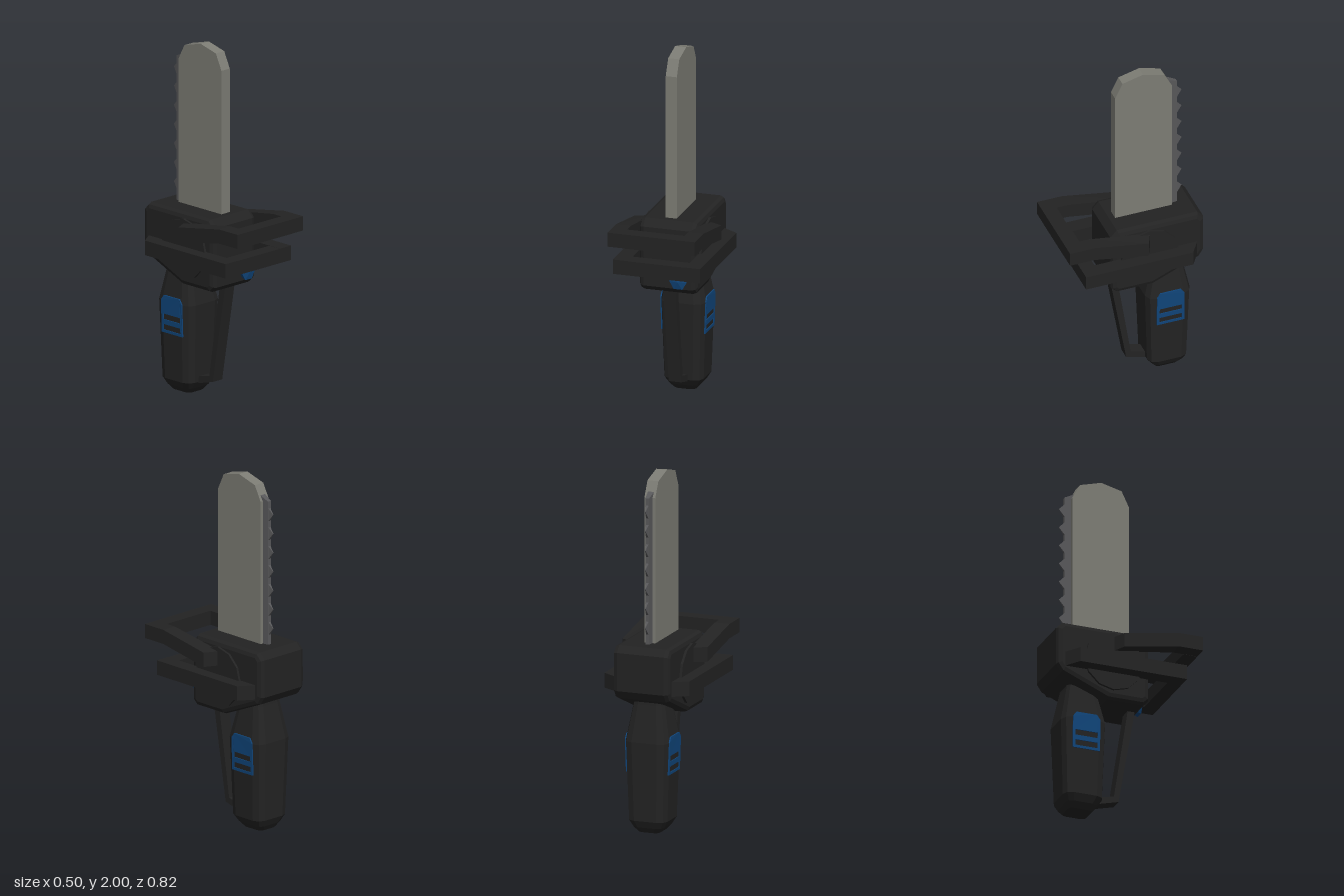
import * as THREE from 'three';

const paint = (name, color) => {
  const m = new THREE.MeshStandardMaterial({ color, flatShading: true });
  m.name = name;
  return m;
};

const polygon = (points) => new THREE.Shape(points.map(([a, b]) => new THREE.Vector2(a, b)));

// Extrudes a side profile given as [z, y] points from x0 to x1
function sideExtrude(shape, x0, x1, bevel = 0) {
  const geo = new THREE.ExtrudeGeometry(shape, {
    depth: x1 - x0 - 2 * bevel, bevelEnabled: bevel > 0, bevelSegments: 2,
    bevelThickness: bevel, bevelSize: bevel, bevelOffset: -bevel,
  });
  geo.translate(0, 0, -x1 + bevel);
  return geo.rotateY(-Math.PI / 2);
}

// Moves every vertex by a rule
function reshape(geo, rule) {
  const p = geo.attributes.position;
  const v = new THREE.Vector3();
  for (let i = 0; i < p.count; i++) {
    rule(v.fromBufferAttribute(p, i));
    p.setXYZ(i, v.x, v.y, v.z);
  }
  geo.computeVertexNormals();
  return geo;
}

// Lofts chamfered rectangles [y, zCentre, halfX, halfZ] from bottom to top
function loft(sections) {
  const pos = [], index = [];
  const n = 12;
  for (const [y, zc, hx, hz] of sections) {
    const c = hx * 0.42;
    for (let k = 0; k < 4; k++) {
      for (let s = 0; s < 3; s++) {
        const a = (k + s / 2) * Math.PI / 2;
        const sx = k === 0 || k === 3 ? 1 : -1;
        const sz = k < 2 ? 1 : -1;
        pos.push(sx * (hx - c) + c * Math.cos(a), y, zc + sz * (hz - c) + c * Math.sin(a));
      }
    }
  }
  for (let r = 0; r < sections.length - 1; r++) {
    for (let i = 0; i < n; i++) {
      const a = r * n + i, b = r * n + (i + 1) % n;
      index.push(a, a + n, b, b, a + n, b + n);
    }
  }
  const top = (sections.length - 1) * n;
  for (let i = 1; i < n - 1; i++) {
    index.push(0, i, i + 1, top, top + i + 1, top + i);
  }
  const geo = new THREE.BufferGeometry();
  geo.setAttribute('position', new THREE.Float32BufferAttribute(pos, 3));
  geo.setIndex(index);
  geo.computeVertexNormals();
  return geo;
}

export function createModel() {
  const black = paint('black plastic', 0x232323);
  const blue = paint('blue accent', 0x10457a);
  const steel = paint('blade steel', 0x7c7c74);
  const chainGrey = paint('chain grey', 0x58585a);

  const model = new THREE.Group();
  model.name = 'handSaw';
  const add = (name, geo, mat) => {
    const mesh = new THREE.Mesh(geo, mat);
    mesh.name = name;
    model.add(mesh);
    return mesh;
  };

  // Motor housing with a sloping rear underside
  add('housing', sideExtrude(polygon([
    [0.10, 0.65], [0.132, 0.68], [0.132, 1.02], [0.095, 1.062], [-0.375, 1.062],
    [-0.41, 1.025], [-0.41, 0.81], [-0.38, 0.765], [-0.11, 0.65],
  ].reverse()), -0.166, 0.166, 0.028), black);

  // Round covers on both sides of the housing
  const cover = new THREE.CylinderGeometry(0.17, 0.17, 0.36, 12).rotateZ(Math.PI / 2);
  add('sideCovers', cover.translate(0, 0.865, -0.085), black);

  // Blade
  add('blade', sideExtrude(polygon([
    [0.063, 1.0], [0.063, 1.88], [0.02, 1.97], [-0.10, 2.0],
    [-0.225, 1.965], [-0.27, 1.88], [-0.27, 1.0],
  ].reverse()), -0.032, 0.032), steel);

  // Chain rail along the rear edge, narrowing backwards
  add('chainRail', reshape(sideExtrude(polygon([
    [-0.25, 1.0], [-0.25, 1.912], [-0.307, 1.885], [-0.307, 1.0],
  ].reverse()), -0.018, 0.018), (v) => { if (v.z < -0.3) v.x *= 0.6; }), chainGrey);

  // Chain teeth
  for (let i = 0; i < 7; i++) {
    const y = 1.156 + i * 0.109;
    add('tooth', reshape(sideExtrude(polygon([
      [-0.305, y - 0.04], [-0.337, y + 0.004], [-0.305, y + 0.036],
    ]), -0.008, 0.008), (v) => { if (v.z < -0.32) v.x *= 0.15; }), chainGrey).material.side = THREE.DoubleSide;
  }

  // Grip
  add('grip', loft([
    [0, -0.23, 0.062, 0.07], [0.03, -0.228, 0.09, 0.092], [0.07, -0.225, 0.113, 0.115],
    [0.515, -0.225, 0.128, 0.13], [0.72, -0.228, 0.092, 0.085], [0.8, -0.228, 0.08, 0.075],
  ]), black);

  // Slotted grip pads, leaning with the grip wall
  const padShape = polygon([
    [-0.145, 0.335], [-0.305, 0.335], [-0.305, 0.52], [-0.285, 0.548], [-0.165, 0.548], [-0.145, 0.52],
  ].reverse());
  for (const y of [0.35, 0.41]) {
    padShape.holes.push(polygon([[-0.16, y], [-0.16, y + 0.032], [-0.29, y + 0.032], [-0.29, y]]));
  }
  for (const s of [-1, 1]) {
    const geo = sideExtrude(padShape, -0.004, 0.004);
    add(s > 0 ? 'leftGripPad' : 'rightGripPad', reshape(geo, (v) => {
      v.x += s * (0.129 - Math.abs(0.515 - v.y) * 0.034);
    }), blue);
  }

  // Hand guard in front of the grip
  add('handGuard', sideExtrude(polygon([
    [0.102, 0.69], [0, 0.093], [-0.14, 0.055], [-0.14, 0.095], [-0.027, 0.122], [0.06, 0.69],
  ].reverse()), -0.036, 0.036), black);

  // Two U-shaped front handles: bent upper and straight lower
  const handles = [
    { name: 'upperHandle', bar: [0.37, 1.025], end: -0.09, step: 0.04,
      arm: [[0.411, 0.985], [0.411, 1.066], [0.267, 1.066], [-0.09, 1.01], [-0.09, 0.928], [0.267, 0.985]] },
    { name: 'lowerHandle', bar: [0.276, 0.837], end: -0.365, step: 0.055,
      arm: [[0.317, 0.796], [0.317, 0.879], [-0.365, 0.879], [-0.365, 0.796]] },
  ];
  for (const h of handles) {
    for (const s of [-1, 1]) {
      const x0 = s > 0 ? 0.165 : -0.251;
      add(h.name + 'Arm', reshape(sideExtrude(polygon(h.arm), x0, x0 + 0.086), (v) => {
        if (Math.abs(v.x) > 0.2 && v.z < h.end + 0.001) v.z += h.step;
      }), black);
    }
    const bar = new THREE.BoxGeometry(0.332, 0.082, 0.082);
    add(h.name + 'Bar', bar.translate(0, h.bar[1], h.bar[0]), black);
  }

  // Hexagonal blue knob with a shallow pointed face
  const knob = new THREE.LatheGeometry([
    [0.034, -0.01], [0.038, 0.004], [0.05, 0.037], [0, 0.048],
  ].map(([r, y]) => new THREE.Vector2(r, y)), 6);
  knob.rotateY(Math.PI / 6 * 3).rotateX(Math.PI / 2);
  add('knob', knob.translate(0.073, 0.735, 0.13), blue);

  return model;
}
